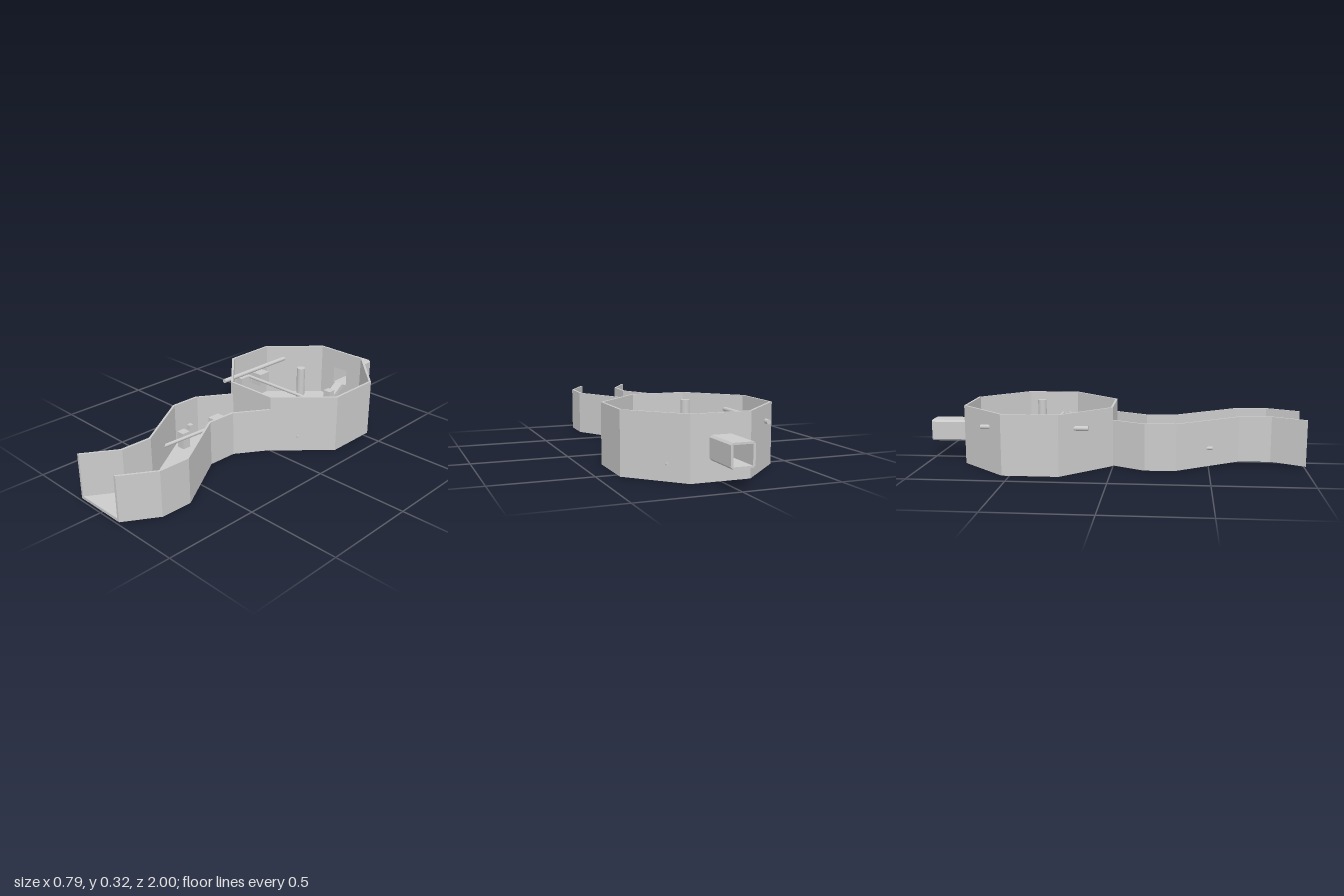
import * as THREE from 'three';

const mat = new THREE.MeshStandardMaterial({ color: 0xcccccc, side: THREE.DoubleSide });
const v3 = (x, y, z) => new THREE.Vector3(x, y, z);

// Shape from plan points [x, z]; becomes a flat slab once laid down
const planShape = pts => new THREE.Shape(pts.map(([x, z]) => new THREE.Vector2(x, -z)));

function slab(pts, y0, y1) {
  const g = new THREE.ExtrudeGeometry(planShape(pts), { depth: y1 - y0, bevelEnabled: false });
  return g.rotateX(-Math.PI / 2).translate(0, y0, 0);
}

function rectPath(Type, x0, y0, x1, y1, c = 0) {
  const pts = c
    ? [[x0 + c, y0], [x1 - c, y0], [x1, y0 + c], [x1, y1 - c], [x1 - c, y1], [x0 + c, y1], [x0, y1 - c], [x0, y0 + c]]
    : [[x0, y0], [x1, y0], [x1, y1], [x0, y1]];
  return new Type(pts.map(([x, y]) => new THREE.Vector2(x, y)));
}

export function createModel() {
  const model = new THREE.Group();
  const add = (name, geometry, parent = model) => {
    const mesh = new THREE.Mesh(geometry, mat);
    mesh.name = name;
    parent.add(mesh);
    return mesh;
  };
  const box = (name, x, y, z, w, h = w, d = w) => {
    const m = add(name, new THREE.BoxGeometry(w, h, d));
    m.position.set(x, y, z);
    return m;
  };
  const rod = (name, a, b, r) => {
    const m = add(name, new THREE.CylinderGeometry(r, r, a.distanceTo(b), 20));
    m.position.copy(a).add(b).multiplyScalar(0.5);
    m.quaternion.setFromUnitVectors(v3(0, 1, 0), b.clone().sub(a).normalize());
  };

  // Octagonal chamber: floor and one panel per side
  const oct = [[-0.15, -0.79], [0.15, -0.79], [0.393, -0.54], [0.393, -0.25],
    [0.147, 0], [-0.15, 0], [-0.397, -0.25], [-0.397, -0.54]];
  const chamber = new THREE.Group();
  chamber.name = 'chamber';
  model.add(chamber);
  add('chamberFloor', slab(oct, 0, 0.015), chamber);
  const holes = {
    0: [-0.048, 0.11, 0.046, 0.205], // duct opening
    4: [-0.055, 0.015, 0.055, 0.115], // doorway
  };
  oct.forEach(([ax, az], i) => {
    const [bx, bz] = oct[(i + 1) % 8];
    const dir = v3(bx - ax, 0, bz - az);
    const len = dir.length(), half = len / 2;
    dir.normalize();
    const shape = rectPath(THREE.Shape, -half, 0, half, 0.313);
    if (holes[i]) shape.holes.push(rectPath(THREE.Path, ...holes[i]));
    const g = new THREE.ExtrudeGeometry(shape, { depth: 0.012, bevelEnabled: false });
    const up = v3(0, 1, 0);
    g.applyMatrix4(new THREE.Matrix4().makeBasis(dir, up, dir.clone().cross(up))
      .setPosition((ax + bx) / 2, 0, (az + bz) / 2));
    add('chamberWall', g, chamber);
  });

  // Hollow duct at the back, with chamfered edges
  const ductShape = rectPath(THREE.Shape, -0.06, 0.1, 0.058, 0.215, 0.01);
  ductShape.holes.push(rectPath(THREE.Path, -0.048, 0.11, 0.046, 0.205));
  add('duct', new THREE.ExtrudeGeometry(ductShape, { depth: 0.21, bevelEnabled: false }).translate(0, 0, -1));

  // Zigzag channel, rising gently towards its open end
  const leftLine = [[-0.147, 0], [-0.253, 0.17], [-0.253, 0.33], [-0.042, 0.66], [-0.042, 0.83], [-0.147, 1]];
  const rightLine = [[0.147, 0], [0.04, 0.17], [0.04, 0.33], [0.25, 0.66], [0.25, 0.83], [0.147, 1]];
  const shift = (line, dx) => line.map(([x, z]) => [x + dx, z]).reverse();
  const rise = g => {
    const p = g.attributes.position;
    for (let i = 0; i < p.count; i++) p.setY(i, p.getY(i) + 0.014 * p.getZ(i));
    g.computeVertexNormals();
    return g;
  };
  const channel = new THREE.Group();
  channel.name = 'channel';
  model.add(channel);
  add('channelFloor', rise(slab([...leftLine, ...[...rightLine].reverse()], 0.002, 0.017)), channel);
  add('channelWall', rise(slab([...leftLine, ...shift(leftLine, 0.013)], 0.002, 0.245)), channel);
  add('channelWall', rise(slab([...rightLine, ...shift(rightLine, -0.013)], 0.002, 0.243)), channel);

  // Centre pole with a spiral of round steps
  rod('centrePole', v3(0.008, 0.01, -0.4), v3(0.008, 0.325, -0.4), 0.023);
  for (let i = 0; i < 6; i++) {
    const a = Math.PI * (1.08 + 0.18 * i);
    const m = add('roundStep', new THREE.CylinderGeometry(0.048, 0.048, 0.02, 24));
    m.position.set(0.015 + 0.06 * Math.cos(a), 0.045 + 0.022 * i, -0.41 + 0.055 * Math.sin(a));
  }

  // Rods crossing the chamber and the channel
  rod('upperRod', v3(-0.315, 0.233, -0.66), v3(-0.32, 0.233, -0.11), 0.012);
  rod('crossRod', v3(-0.39, 0.185, -0.345), v3(0.39, 0.185, -0.345), 0.009);
  rod('lowerRod', v3(0.225, 0.08, -0.715), v3(0.247, 0.085, -0.1), 0.008);
  rod('channelRod', v3(-0.128, 0.1, 0), v3(-0.145, 0.105, 0.52), 0.009);

  // Loose blocks in the chamber and the channel
  box('block', -0.322, 0.165, -0.412, 0.073);
  box('block', 0.222, 0.145, -0.168, 0.073);
  box('block', -0.145, 0.1, 0.108, 0.073);
  box('smallBlock', -0.38, 0.16, -0.405, 0.02, 0.06, 0.06);
  box('smallBlock', -0.355, 0.16, -0.298, 0.042, 0.07, 0.065);
  box('smallBlock', -0.225, 0.1, 0.24, 0.025);
  box('post', -0.188, 0.065, 0.32, 0.047, 0.095);
  // Tilted blocks
  box('tiltedBlock', 0.306, 0.165, -0.298, 0.05, 0.068, 0.06).rotation.x = 0.8;
  box('tiltedBlock', 0.008, 0.085, -0.722, 0.052, 0.025, 0.1).rotation.x = 0.6;
  box('post', 0.01, 0.075, -0.662, 0.047, 0.06, 0.045);

  return model;
}
